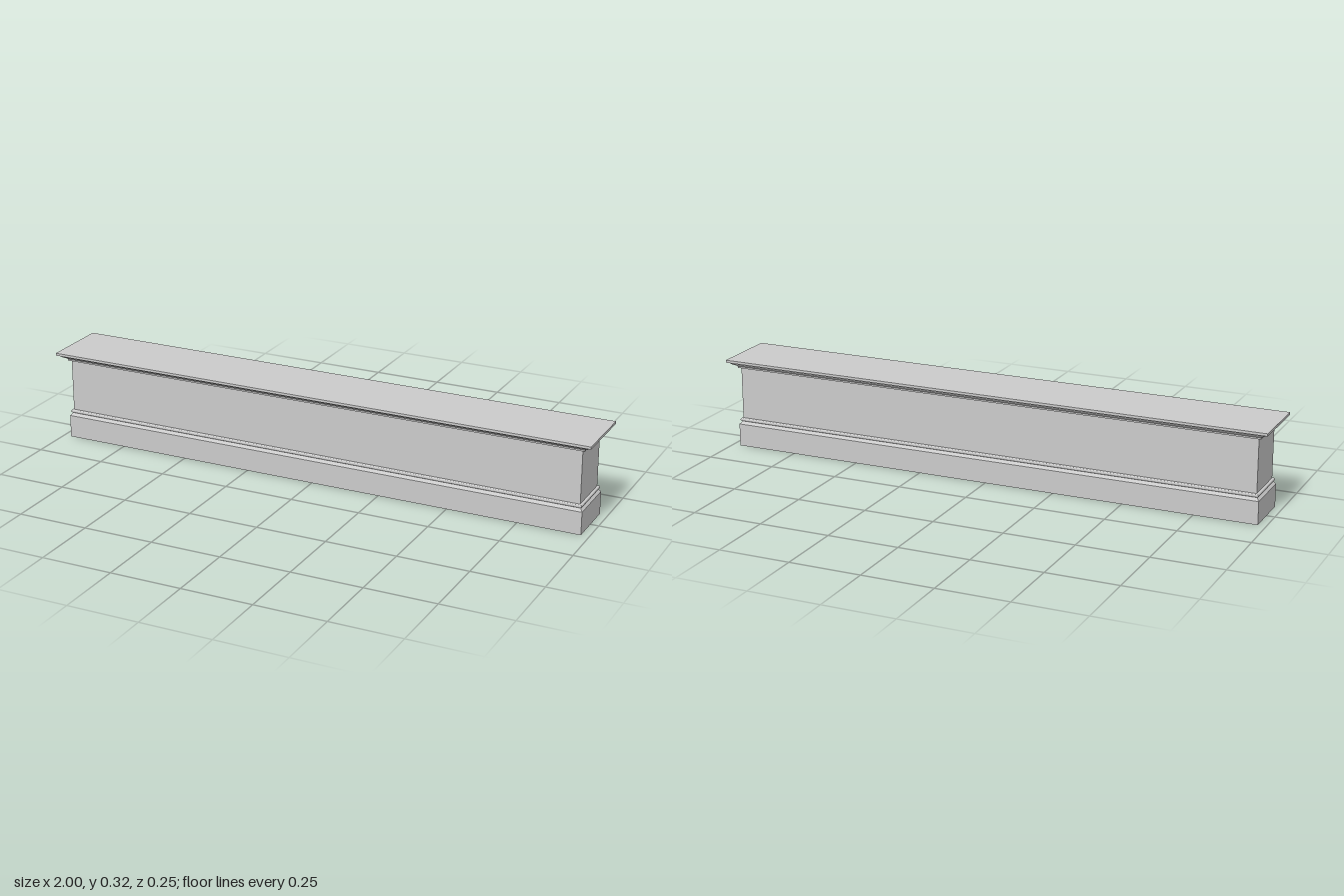
import * as THREE from 'three';
import { toCreasedNormals } from 'three/addons/utils/BufferGeometryUtils.js';

const EXTRA = 0.877; // how much longer the half length is than the half depth

// Sweeps a profile of [half depth, height] points around a rectangle with mitred corners
function moulding(name, profile, material) {
  const positions = [];
  const index = [];
  for (const [r, y] of profile) {
    const x = r + EXTRA;
    positions.push(x, y, r, x, y, -r, -x, y, -r, -x, y, r);
  }
  for (let i = 0; i < profile.length - 1; i++) {
    for (let j = 0; j < 4; j++) {
      const a = i * 4 + j;
      const b = i * 4 + ((j + 1) % 4);
      index.push(a, b, b + 4, a, b + 4, a + 4);
    }
  }
  // Bottom and top caps
  const t = (profile.length - 1) * 4;
  index.push(0, 2, 1, 0, 3, 2, t, t + 1, t + 2, t, t + 2, t + 3);

  const geometry = new THREE.BufferGeometry();
  geometry.setAttribute('position', new THREE.Float32BufferAttribute(positions, 3));
  geometry.setIndex(index);
  const mesh = new THREE.Mesh(toCreasedNormals(geometry, 0.55), material);
  mesh.name = name;
  return mesh;
}

export function createModel() {
  const group = new THREE.Group();
  group.name = 'mouldedPlinth';
  const material = new THREE.MeshStandardMaterial({ color: 0xcccccc });

  // Base with a chamfered top and a shallow recess underneath
  const base = [[0.076, 0.02], [0.076, 0], [0.0945, 0], [0.0945, 0.081], [0.086, 0.091]];

  // Half-round bead above the base
  const bead = [];
  for (let i = 0; i <= 10; i++) {
    const a = -Math.PI / 2 + (Math.PI * i) / 10;
    bead.push([0.085 + 0.0062 * Math.cos(a), 0.0972 + 0.0062 * Math.sin(a)]);
  }

  // Plain body
  const body = [[0.0835, 0.09], [0.0835, 0.293]];

  // Cornice: small fillet, S-curved crown
  const crown = new THREE.CubicBezierCurve(
    new THREE.Vector2(0.093, 0.297), new THREE.Vector2(0.1, 0.305),
    new THREE.Vector2(0.111, 0.304), new THREE.Vector2(0.114, 0.3155));
  const cornice = [[0.0925, 0.291], ...crown.getPoints(12).map((p) => [p.x, p.y])];

  // Flat slab on top
  const slab = [[0.123, 0.315], [0.123, 0.324]];

  const parts = { base, bead, body, cornice, topSlab: slab };
  for (const [name, profile] of Object.entries(parts)) {
    group.add(moulding(name, profile, material));
  }
  return group;
}
